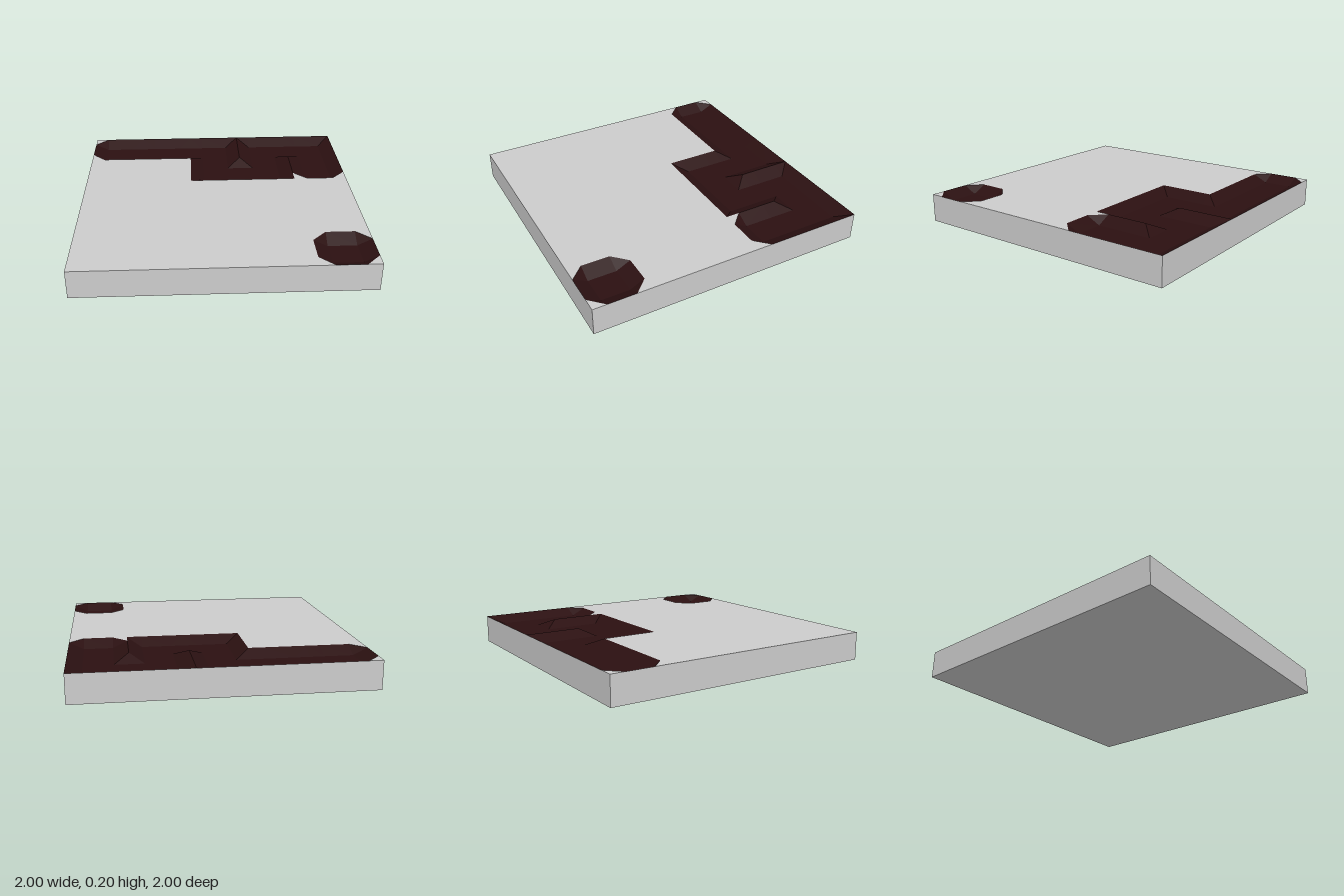
import * as THREE from 'three';

const TOP = 0.2, FLOOR = 0.15, TILE = 0.4, COUNT = 5;
const STEPS = [0, 0.1, 0.3, 0.4]; // wall, floor, floor, wall

// Sunken tiles, keyed 'column,row' from the back right corner, with their open sides
const PITS = {
  '0,0': 'E', '1,0': 'WE', '2,0': 'WS', '3,0': 'SE', '4,0': 'WS',
  '2,1': 'NE', '3,1': 'WN', '4,1': 'N', '4,4': '',
};

function facesMesh(name, points, color) {
  const geometry = new THREE.BufferGeometry().setFromPoints(points);
  geometry.computeVertexNormals();
  const mesh = new THREE.Mesh(geometry, new THREE.MeshStandardMaterial({ color, flatShading: true }));
  mesh.name = name;
  return mesh;
}

// One sunken tile: flat floor, sloping walls on closed sides, level with its neighbour on open ones
function addPit(x, z, open, pit, ground) {
  const deadEnd = open.length < 2; // dead ends have their closed corners cut off
  const closed = (side) => !open.includes(side);
  const node = (i, j) => {
    const corner = i % 3 === 0 && j % 3 === 0;
    const high = corner || (i === 0 && closed('W')) || (i === 3 && closed('E'))
      || (j === 0 && closed('N')) || (j === 3 && closed('S'));
    return new THREE.Vector3(x + STEPS[i], high ? TOP : FLOOR, z + STEPS[j]);
  };
  for (let i = 0; i < 3; i++) {
    for (let j = 0; j < 3; j++) {
      const quad = [node(i, j), node(i, j + 1), node(i + 1, j + 1), node(i + 1, j)];
      const isCorner = i !== 1 && j !== 1;
      // Rotate the cell so the tile's outer corner comes first
      const first = !isCorner ? 0 : i === 0 ? (j === 0 ? 0 : 1) : (j === 0 ? 3 : 2);
      const [o, a, p, b] = quad.map((_, k) => quad[(first + k) % 4]);
      const cut = isCorner && deadEnd && closed(i ? 'E' : 'W') && closed(j ? 'S' : 'N');
      if (cut) {
        ground.push(o, a, b);
        pit.push(a, p, b);
      } else {
        pit.push(o, a, p, o, p, b);
      }
    }
  }
}

export function createModel() {
  const group = new THREE.Group();
  group.name = 'groundTile';

  // Slab sides and underside, without the top face
  const box = new THREE.BoxGeometry(2, TOP, 2).translate(0, TOP / 2, 0);
  const index = Array.from(box.index.array);
  index.splice(12, 6);
  box.setIndex(index);
  box.clearGroups();
  const slab = new THREE.Mesh(box, new THREE.MeshStandardMaterial({ color: 0xcccccc }));
  slab.name = 'slab';

  // Top surface: level ground and sunken channels
  const ground = [], pit = [];
  for (let c = 0; c < COUNT; c++) {
    for (let r = 0; r < COUNT; r++) {
      const x = -1 + c * TILE, z = -1 + r * TILE;
      const open = PITS[`${c},${r}`];
      if (open !== undefined) {
        addPit(x, z, open, pit, ground);
        continue;
      }
      const at = (dx, dz) => new THREE.Vector3(x + dx, TOP, z + dz);
      ground.push(at(0, 0), at(0, TILE), at(TILE, TILE), at(0, 0), at(TILE, TILE), at(TILE, 0));
    }
  }
  group.add(slab, facesMesh('ground', ground, 0xcccccc), facesMesh('sunkenChannels', pit, 0x2b1011));
  return group;
}
